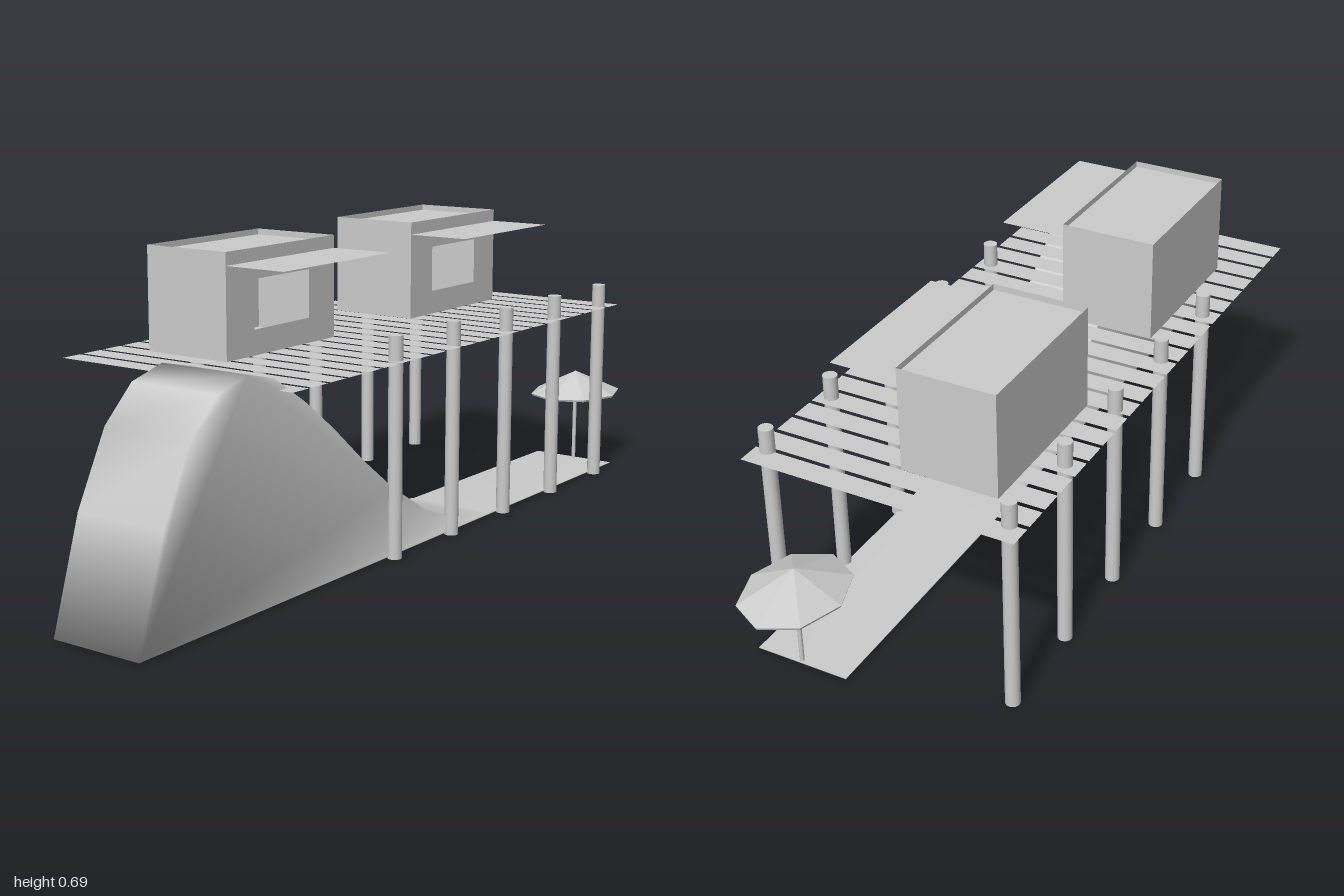
import * as THREE from 'three';
import { mergeVertices } from 'three/addons/utils/BufferGeometryUtils.js';

export function createModel() {
  const root = new THREE.Group();
  const grey = new THREE.MeshStandardMaterial({ color: 0xcccccc, side: THREE.DoubleSide });
  grey.name = 'light grey';

  function add(parent, name, geometry, x = 0, y = 0, z = 0) {
    const mesh = new THREE.Mesh(geometry, grey);
    mesh.name = name;
    mesh.position.set(x, y, z);
    parent.add(mesh);
    return mesh;
  }
  const flat = (w, d) => new THREE.PlaneGeometry(w, d).rotateX(-Math.PI / 2);

  // Humped slide: one side profile, extruded and smoothed over shared corners
  const profile = [
    [-1, 0.004], [-0.925, 0.24], [-0.845, 0.395], [-0.765, 0.47], [-0.675, 0.494],
    [-0.59, 0.474], [-0.49, 0.41], [-0.39, 0.335], [-0.28, 0.243], [-0.165, 0.157],
    [-0.04, 0.082], [0.085, 0.033], [0.25, 0.009], [0.87, 0.007], [0.87, 0.005],
  ];
  const shape = new THREE.Shape(profile.map(([x, y]) => new THREE.Vector2(x, y)));
  let slide = new THREE.ExtrudeGeometry(shape, { depth: 0.22, bevelEnabled: false });
  slide.deleteAttribute('uv');
  slide.deleteAttribute('normal');
  slide = mergeVertices(slide, 1e-5);
  slide.computeVertexNormals();
  add(root, 'slide', slide, 0, 0, 0.057);

  // Deck of separate thin planks
  const deckY = 0.447;
  const deck = new THREE.Group();
  deck.name = 'deck';
  root.add(deck);
  const plank = flat(0.0535, 0.634);
  for (let i = 0; i < 22; i++) add(deck, 'plank', plank, -0.55 + i * 0.0639, deckY, -0.004);

  // Two rows of posts
  const post = new THREE.CylinderGeometry(0.0165, 0.0165, 0.503, 16);
  for (let i = 0; i < 5; i++) {
    for (const z of [-0.283, 0.283]) add(root, 'post', post, -0.17 + i * 0.234, 0.2515, z);
  }

  // Kiosk: open box of thin walls, sunken roof, serving hatch and awning
  function kiosk(x) {
    const g = new THREE.Group();
    g.name = 'kiosk';
    g.position.set(x, deckY, 0);
    root.add(g);
    const w = 0.392, h = 0.239, d = 0.224, front = 0.002;
    const wall = new THREE.Shape();
    wall.moveTo(-w / 2, 0).lineTo(w / 2, 0).lineTo(w / 2, h).lineTo(-w / 2, h).closePath();
    const hatch = new THREE.Path();
    hatch.moveTo(-0.1, 0.058).lineTo(-0.1, 0.17).lineTo(0.1, 0.17).lineTo(0.1, 0.058).closePath();
    wall.holes.push(hatch);
    add(g, 'frontWall', new THREE.ShapeGeometry(wall), 0, 0, front);
    add(g, 'backWall', new THREE.PlaneGeometry(w, h).rotateY(Math.PI), 0, h / 2, front - d);
    for (const s of [-1, 1]) {
      const side = new THREE.PlaneGeometry(d, h).rotateY(s * Math.PI / 2);
      add(g, 'sideWall', side, s * w / 2, h / 2, front - d / 2);
    }
    add(g, 'floor', flat(w, d), 0, 0.002, front - d / 2);
    add(g, 'roof', flat(w, d), 0, 0.225, front - d / 2);
    add(g, 'awning', flat(w, 0.156), 0, 0.209, front + 0.078);
  }
  kiosk(-0.209);
  kiosk(0.505);

  // Eight-sided parasol with a short rim
  const parasol = new THREE.Group();
  parasol.name = 'parasol';
  parasol.position.set(0.861, 0, 0.172);
  root.add(parasol);
  const rim = [[0.985, 0.187], [1, 0.192], [0, 0.248]].map(([r, y]) => new THREE.Vector2(r, y));
  const canopy = new THREE.LatheGeometry(rim, 8).scale(0.139, 1, 0.112).toNonIndexed();
  canopy.computeVertexNormals();
  add(parasol, 'canopy', canopy);
  add(parasol, 'pole', new THREE.CylinderGeometry(0.005, 0.005, 0.236, 10), 0, 0.122, 0);

  return root;
}
